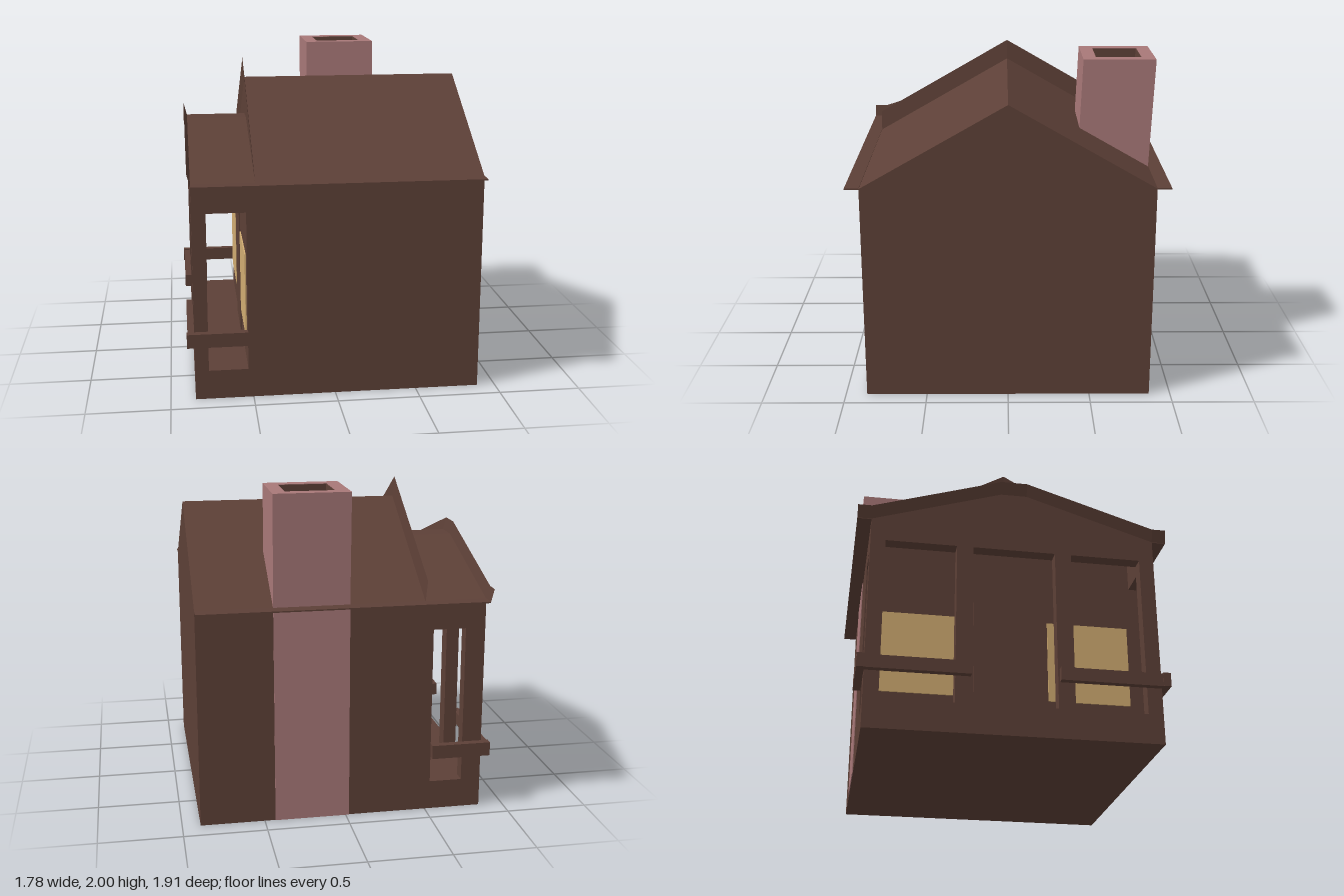
import * as THREE from 'three';

export function createModel() {
  const model = new THREE.Group();
  const mat = (name, color, side = THREE.FrontSide) => {
    const m = new THREE.MeshStandardMaterial({ color, side });
    m.name = name;
    return m;
  };
  const wood = mat('brown wood', 0x5d4037, THREE.DoubleSide);
  const brick = mat('dusty pink brick', 0xa87878);
  const glass = mat('warm window', 0xd2ac72);

  const add = (name, geometry, material = wood) => {
    const mesh = new THREE.Mesh(geometry, material);
    mesh.name = name;
    model.add(mesh);
    return mesh;
  };
  // box given by its limits on each axis
  const box = (name, x0, x1, y0, y1, z0, z1, material = wood) => {
    const g = new THREE.BoxGeometry(x1 - x0, y1 - y0, z1 - z0);
    g.translate((x0 + x1) / 2, (y0 + y1) / 2, (z0 + z1) / 2);
    return add(name, g, material);
  };
  const points = (list) => list.map(([a, b]) => new THREE.Vector2(a, b));
  const rect = (a0, a1, b0, b1) => points([[a0, b0], [a1, b0], [a1, b1], [a0, b1]]);
  // outline in the z-y plane, extruded along x
  const slab = (name, outline, holes, x0, x1) => {
    const shape = new THREE.Shape(points(outline));
    shape.holes = holes.map((h) => new THREE.Path(h));
    const g = new THREE.ExtrudeGeometry(shape, { depth: x1 - x0, bevelEnabled: false });
    g.rotateY(Math.PI / 2).translate(x0, 0, 0);
    return add(name, g);
  };
  // sheet following a z-y profile, from x0 to x1 with the far edge raised
  const sheet = (name, profile, x0, x1, rise = 0) => {
    const pos = [];
    for (let i = 0; i < profile.length - 1; i++) {
      const [za, ya] = profile[i], [zb, yb] = profile[i + 1];
      const a = [x0, ya, za], b = [x0, yb, zb];
      const c = [x1, yb + rise, zb], d = [x1, ya + rise, za];
      pos.push(...a, ...b, ...c, ...a, ...c, ...d);
    }
    const g = new THREE.BufferGeometry();
    g.setAttribute('position', new THREE.Float32BufferAttribute(pos, 3));
    g.computeVertexNormals();
    return add(name, g);
  };

  // cabin body and main gable roof
  const mainRoof = [[-0.87, 1.33], [0, 1.83], [0.87, 1.33]];
  box('cabinBody', -0.53, 0.89, 0, 1.33, -0.87, 0.87);
  slab('mainRoof', mainRoof, [], -0.475, 0.89);
  sheet('roofRidgeBoard', mainRoof, -0.475, -0.487, 0.125);

  // porch: floor, gabled front with three openings, roof and flared edge
  const porchRoof = [[-0.87, 1.33], [-0.08, 1.58], [0.08, 1.58], [0.87, 1.33]];
  box('porchFloor', -0.84, -0.53, 0, 0.18, -0.87, 0.87);
  slab('porchFront', [[-0.87, 0], ...porchRoof, [0.87, 0]], [
    rect(-0.78, -0.35, 0.18, 1.19),
    rect(-0.25, 0.25, 0.18, 1.19),
    rect(0.35, 0.78, 0.18, 1.19),
  ], -0.85, -0.768);
  sheet('porchRoof', porchRoof, -0.475, -0.85);
  sheet('porchRoofEdge', [[-0.955, 1.33], ...porchRoof, [0.955, 1.33]], -0.85, -0.87, 0.08);
  box('backCornerPost', -0.77, -0.73, 0.18, 1.155, -0.87, -0.79);

  for (const s of [-1, 1]) {
    const side = (name, x0, x1, y0, y1, a, b, m) =>
      box(name, x0, x1, y0, y1, Math.min(s * a, s * b), Math.max(s * a, s * b), m);
    side('eave', -0.85, 0.89, 1.326, 1.334, 0.87, 0.955);
    side('porchSideBeam', -0.77, -0.53, 1.155, 1.33, 0.8, 0.87);
    // railings wrap round the porch corners
    side('sideRail', -0.895, -0.53, 0.345, 0.43, 0.87, 0.915);
    side('frontRail', -0.89, -0.85, 0.345, 0.425, 0.26, 0.9);
    side('window', -0.538, -0.53, 0.35, 0.87, 0.26, 0.77, glass);
  }
  box('door', -0.538, -0.53, 0.18, 0.98, -0.2, 0.2);

  // slightly leaning chimney with a dark lined flue
  const flue = (name, x0, x1, z0, z1, wallX, wallZ, top, material) => {
    const shape = new THREE.Shape(rect(x0, x1, z0, z1));
    shape.holes.push(new THREE.Path(rect(x0 + wallX, x1 - wallX, z0 + wallZ, z1 - wallZ)));
    const g = new THREE.ExtrudeGeometry(shape, { depth: top - 1.33, bevelEnabled: false });
    g.rotateX(-Math.PI / 2).translate(0, 1.33, 0);
    const p = g.attributes.position;
    for (let i = 0; i < p.count; i++) p.setZ(i, p.getZ(i) - 0.04 * (p.getY(i) - 1.33));
    g.computeVertexNormals();
    add(name, g, material);
  };
  flue('chimney', -0.02, 0.435, 0.43, 0.87, 0.08, 0.08, 2, brick);
  flue('chimneyLining', 0.058, 0.357, 0.508, 0.792, 0.006, 0.006, 1.997, wood);
  box('chimneyBreast', -0.02, 0.435, 0, 1.33, -0.875, -0.868, brick);

  return model;
}
